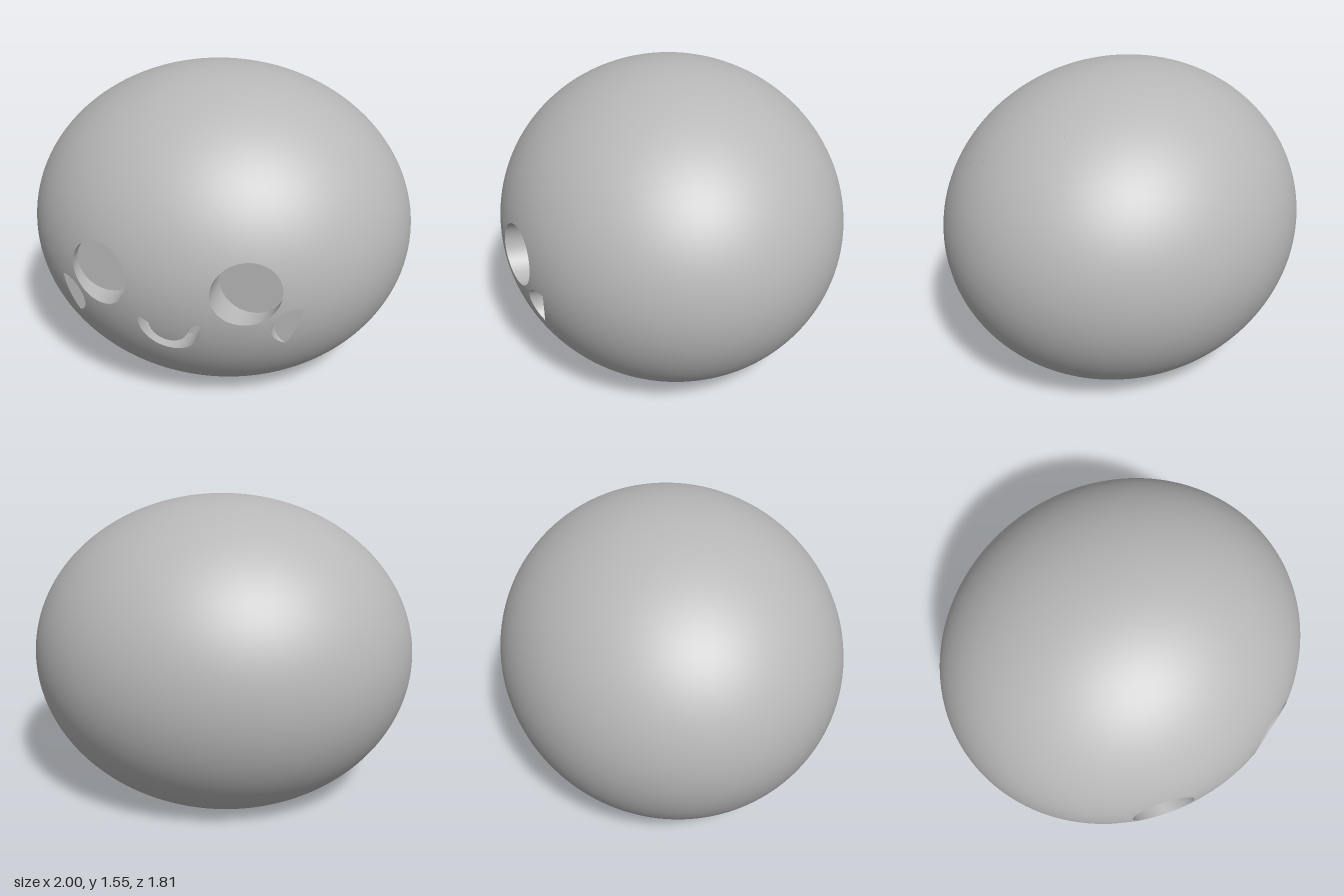
import * as THREE from 'three';
import { toCreasedNormals } from 'three/addons/utils/BufferGeometryUtils.js';

// Ellipsoid radii, centre height, and the depth plane of the face recesses
const RX = 1, RY = 0.831, RZ = 0.905, CY = 0.7195, FLOOR_Z = 0.73;
const BASE_LAT = Math.asin(-CY / RY);
const BASE_R = Math.cos(BASE_LAT);

const v2 = (x, y) => new THREE.Vector2(x, y);

function arc(cx, cy, r, from, to, n) {
  return Array.from({ length: n + 1 }, (_, i) => {
    const a = from + (to - from) * i / n;
    return v2(cx + r * Math.cos(a), cy + r * Math.sin(a));
  });
}

// Height of the front surface above a point of the x-y plane
const frontZ = (p) => RZ * Math.sqrt(Math.max(0, 1 - (p.x / RX) ** 2 - ((p.y - CY) / RY) ** 2));

// The same point as longitude and latitude
function toLonLat(p) {
  const lat = Math.asin((p.y - CY) / RY);
  return v2(Math.asin(p.x / RX / Math.cos(lat)), lat);
}

// Smooth ellipsoid skin with holes: a longitude/latitude sheet, refined and wrapped
function skinGeometry(holes) {
  const sheet = new THREE.Shape([
    v2(-Math.PI, BASE_LAT), v2(Math.PI, BASE_LAT), v2(Math.PI, Math.PI / 2), v2(-Math.PI, Math.PI / 2),
  ]);
  sheet.holes = holes.map((h) => new THREE.Path(h.map(toLonLat)));
  const flat = new THREE.ShapeGeometry(sheet);
  const src = flat.attributes.position, index = flat.index.array;
  const pos = [], nor = [], limit = 0.065;

  const emit = (p) => {
    const c = Math.cos(p.y), x = c * Math.sin(p.x), y = Math.sin(p.y), z = c * Math.cos(p.x);
    pos.push(RX * x, CY + RY * y, RZ * z);
    const n = new THREE.Vector3(x / RX, y / RY, z / RZ).normalize();
    nor.push(n.x, n.y, n.z);
  };
  // Halve the longest edge until every edge is short
  const refine = (a, b, c) => {
    const ab = a.distanceTo(b), bc = b.distanceTo(c), ca = c.distanceTo(a);
    const longest = Math.max(ab, bc, ca);
    if (longest <= limit) return [a, b, c].forEach(emit);
    if (bc === longest) [a, b, c] = [b, c, a];
    else if (ca === longest) [a, b, c] = [c, a, b];
    const m = v2((a.x + b.x) / 2, (a.y + b.y) / 2);
    refine(a, m, c);
    refine(m, b, c);
  };
  const at = (i) => v2(src.getX(index[i]), src.getY(index[i]));
  for (let i = 0; i < index.length; i += 3) refine(at(i), at(i + 1), at(i + 2));

  const g = new THREE.BufferGeometry();
  g.setAttribute('position', new THREE.Float32BufferAttribute(pos, 3));
  g.setAttribute('normal', new THREE.Float32BufferAttribute(nor, 3));
  return g;
}

// Recess with inward-facing walls and a flat floor; outline runs counter-clockwise
function recess(name, outline, rimZ, floorZ, material) {
  const group = new THREE.Group();
  group.name = name;
  const pos = [];
  outline.forEach((a, i) => {
    const b = outline[(i + 1) % outline.length];
    const za = rimZ(a), zb = rimZ(b);
    if (Math.max(za, zb) - floorZ < 1e-4) return;
    pos.push(a.x, a.y, za, b.x, b.y, zb, a.x, a.y, floorZ);
    pos.push(b.x, b.y, zb, b.x, b.y, floorZ, a.x, a.y, floorZ);
  });
  const walls = new THREE.BufferGeometry();
  walls.setAttribute('position', new THREE.Float32BufferAttribute(pos, 3));
  const wallMesh = new THREE.Mesh(toCreasedNormals(walls, 0.5), material);
  wallMesh.name = name + 'Wall';
  const floor = new THREE.Mesh(new THREE.ShapeGeometry(new THREE.Shape(outline)), material);
  floor.name = name + 'Floor';
  floor.position.z = floorZ;
  group.add(wallMesh, floor);
  return group;
}

export function createModel() {
  const model = new THREE.Group();
  model.name = 'smilingBall';
  const grey = new THREE.MeshStandardMaterial({ color: 0xb8b8b8 });
  grey.name = 'grey';

  // Face outlines
  const eye = (s) => arc(s * 0.35, 0.766, 0.154, 0, Math.PI * 2, 56).slice(0, -1);
  // Cheeks are circles that fade out where the skin meets the floor plane
  const edge = Math.sqrt(1 - (FLOOR_Z / RZ) ** 2);
  const cheek = (s) => arc(s * 0.56, 0.57, 0.104, 0, Math.PI * 2, 48).slice(0, -1).map((p) => {
    const k = Math.hypot(p.x / RX, (p.y - CY) / RY) / edge;
    return k > 1 ? v2(p.x / k, CY + (p.y - CY) / k) : p;
  });
  const mouth = [
    ...arc(0, 0.577, 0.148, -Math.PI - 0.2, 0.2, 40),
    ...arc(0, 0.577, 0.093, 0, -Math.PI, 32),
  ];
  const face = {
    leftEye: eye(1), rightEye: eye(-1), leftCheek: cheek(1), rightCheek: cheek(-1), mouth,
  };

  const body = new THREE.Mesh(skinGeometry(Object.values(face)), grey);
  body.name = 'body';
  model.add(body);
  for (const [name, outline] of Object.entries(face)) {
    model.add(recess(name, outline, frontZ, FLOOR_Z, grey));
  }

  // Flat base with a slot that widens into a round hole in the middle
  const L = 0.255, W = 0.065, R = 0.087, a0 = Math.asin(W / R);
  const slot = [
    v2(-L, -W), ...arc(0, 0, R, a0 - Math.PI, -a0, 12), v2(L, -W),
    v2(L, W), ...arc(0, 0, R, a0, Math.PI - a0, 12), v2(-L, W),
  ];
  const baseShape = new THREE.Shape();
  baseShape.absellipse(0, 0, RX * BASE_R, RZ * BASE_R, 0, Math.PI * 2);
  baseShape.holes.push(new THREE.Path(slot));
  const base = new THREE.Group();
  base.name = 'base';
  const plate = new THREE.Mesh(new THREE.ShapeGeometry(baseShape, 96), grey);
  plate.name = 'basePlate';
  base.add(plate, recess('baseSlot', slot, () => 0, -0.2, grey));
  base.rotation.x = Math.PI / 2;
  model.add(base);

  return model;
}
